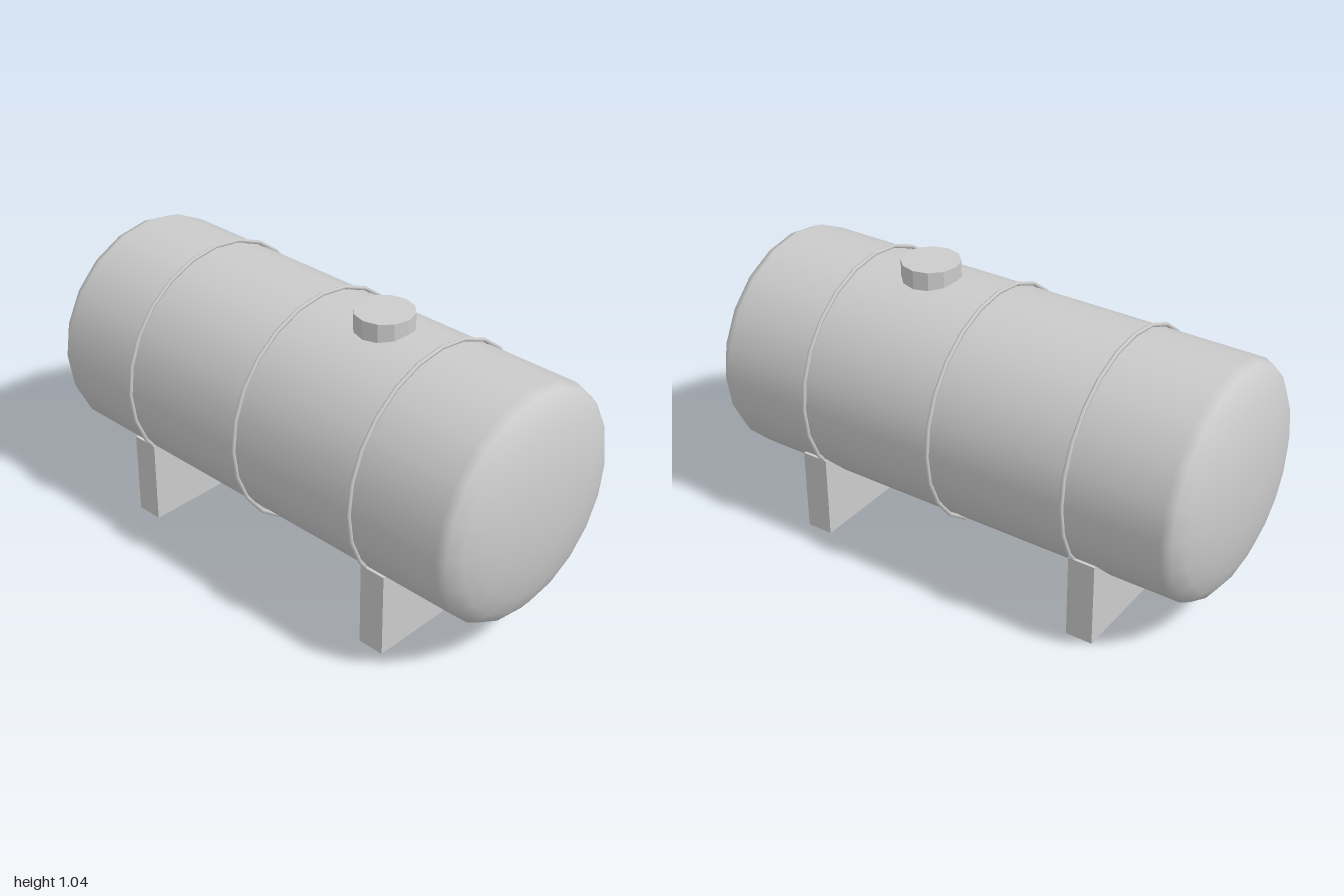
import * as THREE from 'three';

const AXIS_Y = 0.564;      // height of the tank's axis
const RADIUS = 0.42;
const HALF_SHELL = 0.875;  // half length of the straight shell
const CAP_DEPTH = 0.125;
const SIDES = 20;

export function createModel() {
  const model = new THREE.Group();
  const smooth = new THREE.MeshStandardMaterial({ color: 0xcccccc });
  const flat = new THREE.MeshStandardMaterial({ color: 0xcccccc, flatShading: true });

  const add = (name, geometry, material, x, y) => {
    const mesh = new THREE.Mesh(geometry, material);
    mesh.name = name;
    mesh.position.set(x, y, 0);
    model.add(mesh);
  };

  // Straight shell, lying along x
  const shell = new THREE.CylinderGeometry(RADIUS, RADIUS, HALF_SHELL * 2, SIDES, 1, true);
  add('tankShell', shell.rotateZ(Math.PI / 2), smooth, 0, AXIS_Y);

  for (const side of [1, -1]) {
    const prefix = side > 0 ? 'left' : 'right';

    // Domed end: a flattened half sphere
    const cap = new THREE.SphereGeometry(1, SIDES, 6, 0, Math.PI * 2, 0, Math.PI / 2);
    cap.scale(RADIUS, CAP_DEPTH, RADIUS).rotateZ(-side * Math.PI / 2);
    add(prefix + 'EndCap', cap, smooth, side * HALF_SHELL, AXIS_Y);

    // Support block under the shell
    add(prefix + 'Saddle', new THREE.BoxGeometry(0.1, 0.316, 0.7), flat, side * 0.56, 0.158);
  }

  // Thin hoops around the shell
  ['rightHoop', 'middleHoop', 'leftHoop'].forEach((name, i) => {
    const hoop = new THREE.TorusGeometry(0.428, 0.0075, 6, 24).rotateY(Math.PI / 2);
    add(name, hoop, smooth, (i - 1) * 0.525, AXIS_Y);
  });

  // Filler hatch on top
  add('hatch', new THREE.CylinderGeometry(0.105, 0.105, 0.105, 12), flat, 0.28, 0.984);

  return model;
}
